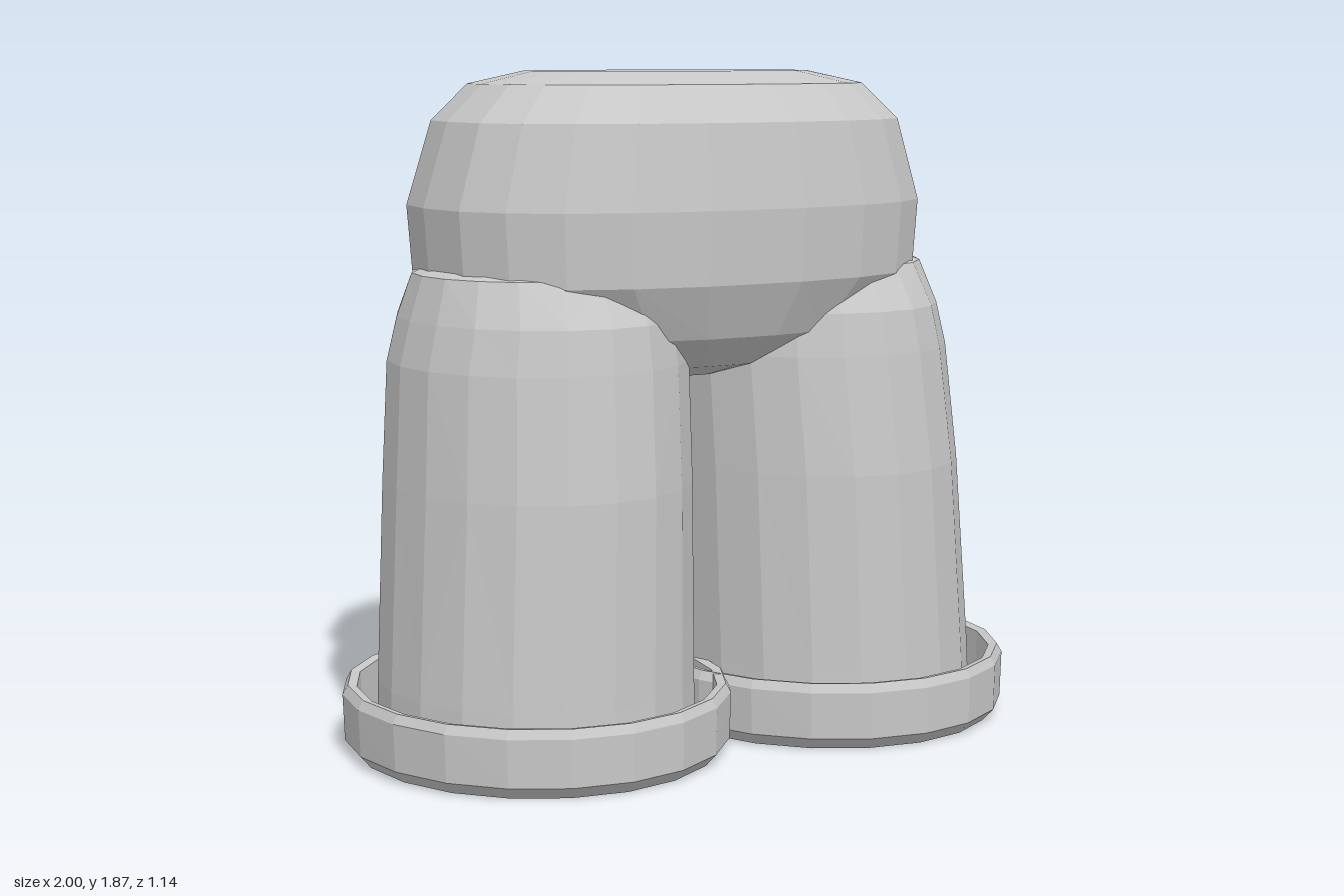
import * as THREE from 'three';

const cloth = new THREE.MeshStandardMaterial({ color: 0xc8c8c8, flatShading: true, side: THREE.DoubleSide });
cloth.name = 'grey cloth';

// Skin through rounded rings [y, centreX, radiusX, centreZ, radiusZ]; power 2 is an ellipse, more is squarer
function loft(name, rings, sides, { power = 2, capTop = false, capBottom = false } = {}) {
  const pos = [], index = [];
  const soft = v => Math.sign(v) * Math.abs(v) ** (2 / power);
  for (const [y, cx, rx, cz, rz] of rings) {
    for (let i = 0; i < sides; i++) {
      const a = (i / sides) * Math.PI * 2;
      pos.push(cx + rx * soft(Math.cos(a)), y, cz + rz * soft(Math.sin(a)));
    }
  }
  for (let r = 0; r < rings.length - 1; r++) {
    for (let i = 0; i < sides; i++) {
      const a = r * sides + i, b = r * sides + (i + 1) % sides;
      const c = a + sides, d = b + sides;
      if ((i + r) % 2) index.push(a, c, b, b, c, d);
      else index.push(a, c, d, a, d, b);
    }
  }
  const cap = (r, up) => {
    const [y, cx, , cz] = rings[r], centre = pos.length / 3;
    pos.push(cx, y, cz);
    for (let i = 0; i < sides; i++) {
      const a = r * sides + i, b = r * sides + (i + 1) % sides;
      index.push(centre, up ? b : a, up ? a : b);
    }
  };
  if (capTop) cap(rings.length - 1, true);
  if (capBottom) cap(0, false);
  const geo = new THREE.BufferGeometry();
  geo.setAttribute('position', new THREE.Float32BufferAttribute(pos, 3));
  geo.setIndex(index);
  geo.computeVertexNormals();
  const mesh = new THREE.Mesh(geo, cloth);
  mesh.name = name;
  return mesh;
}

export function createModel() {
  const model = new THREE.Group();
  model.name = 'trousers';

  // Hips: rounded block with a narrow crotch and a flat waist
  model.add(loft('hips', [
    [1.02, 0, 0.12, -0.06, 0.16],
    [1.06, 0, 0.3, -0.07, 0.3],
    [1.15, 0, 0.56, -0.075, 0.42],
    [1.3, 0, 0.74, -0.075, 0.485],
    [1.5, 0, 0.755, -0.075, 0.495],
    [1.73, 0, 0.685, -0.07, 0.455],
    [1.83, 0, 0.58, -0.075, 0.385],
    [1.865, 0, 0.42, -0.08, 0.26],
  ], 22, { power: 2.4, capTop: true, capBottom: true }));

  for (const s of [1, -1]) {
    const side = s > 0 ? 'left' : 'right';

    // Leg: open tube that tapers upward and closes inside the hips
    model.add(loft(side + 'Leg', [
      [0.03, 0.468, 0.438, 0, 0.47],
      [0.2, 0.465, 0.435, -0.005, 0.468],
      [0.75, 0.445, 0.42, -0.03, 0.472],
      [1.08, 0.43, 0.41, -0.05, 0.452],
      [1.2, 0.425, 0.385, -0.05, 0.432],
      [1.32, 0.42, 0.352, -0.05, 0.36],
      [1.38, 0.4, 0.22, -0.05, 0.25],
    ].map(([y, cx, ...rest]) => [y, cx * s, ...rest]), 20, { capTop: true }));

    // Cuff: loose bevelled band around the ankle
    const cx = 0.465 * s;
    model.add(loft(side + 'Cuff', [
      [0, cx, 0.5, 0, 0.535],
      [0.035, cx, 0.53, 0, 0.567],
      [0.165, cx, 0.535, 0, 0.568],
      [0.19, cx, 0.52, 0, 0.555],
      [0.185, cx, 0.495, 0, 0.53],
      [0.02, cx, 0.485, 0, 0.52],
      [0, cx, 0.5, 0, 0.535],
    ], 20));
  }
  return model;
}
